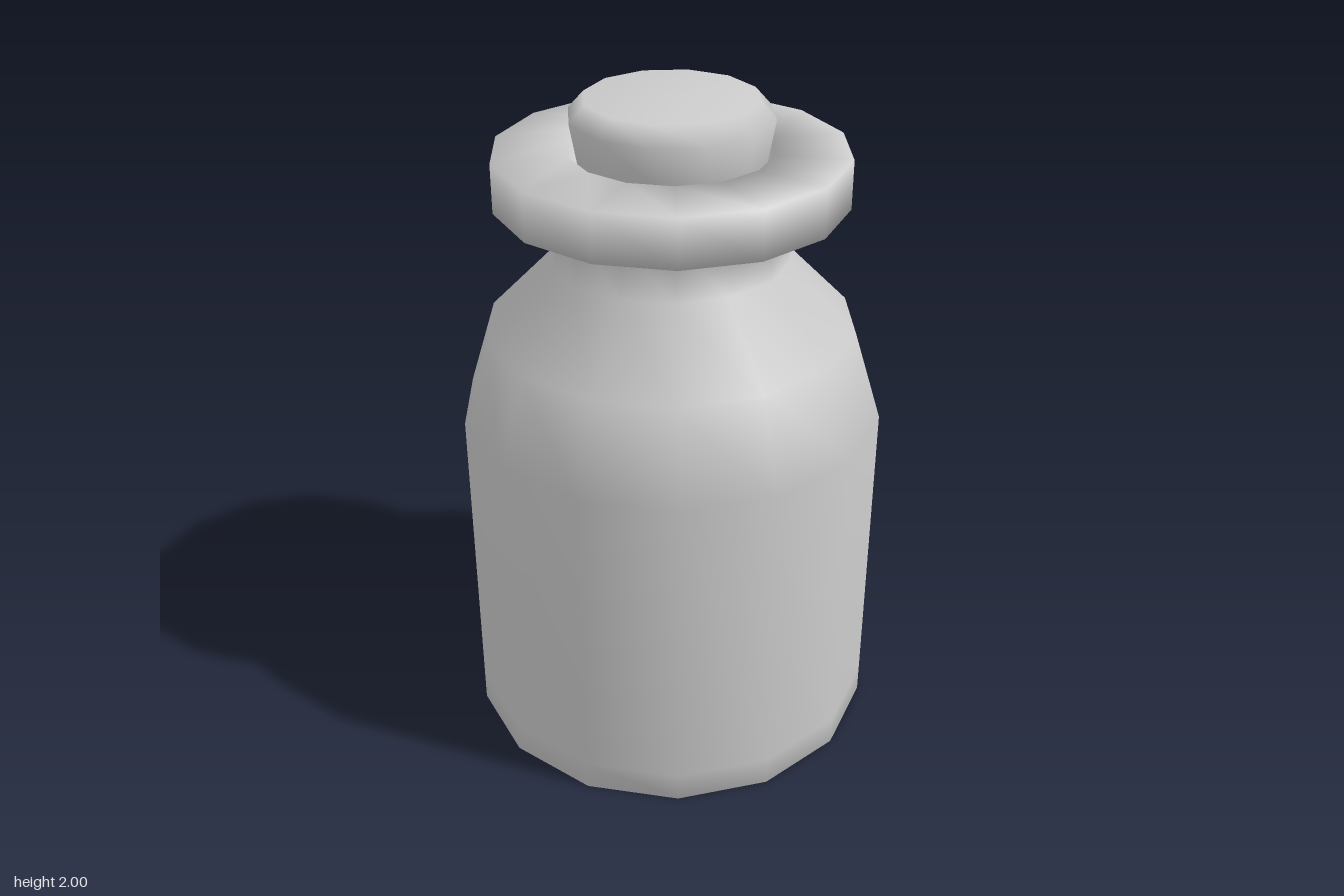
import * as THREE from 'three';

const material = new THREE.MeshStandardMaterial({ color: 0xcccccc });

// Smooth turned part from [radius, height] pairs, with a corner on the x axis
function turned(name, profile, sides) {
  const points = profile.map(([r, y]) => new THREE.Vector2(r, y));
  const mesh = new THREE.Mesh(new THREE.LatheGeometry(points, sides, Math.PI / 2), material);
  mesh.name = name;
  return mesh;
}

export function createModel() {
  const model = new THREE.Group();
  model.name = 'corkedBottle';

  // Base, straight wall, shoulder, neck, lip, then down the inside of the neck
  model.add(turned('bottle', [
    [0, 0], [0.6, 0], [0.635, 0], [0.635, 0.09],
    [0.635, 1.05], [0.55, 1.32], [0.345, 1.53],
    [0.345, 1.705], [0.513, 1.705], [0.513, 1.85],
    [0.295, 1.85], [0.295, 1.53], [0, 1.53],
  ], 14));

  // Tapered stopper with a bevelled top, reaching into the neck
  model.add(turned('cork', [
    [0, 1.58], [0.23, 1.58], [0.277, 1.85],
    [0.295, 1.95], [0.25, 2], [0, 2],
  ], 12));

  return model;
}
